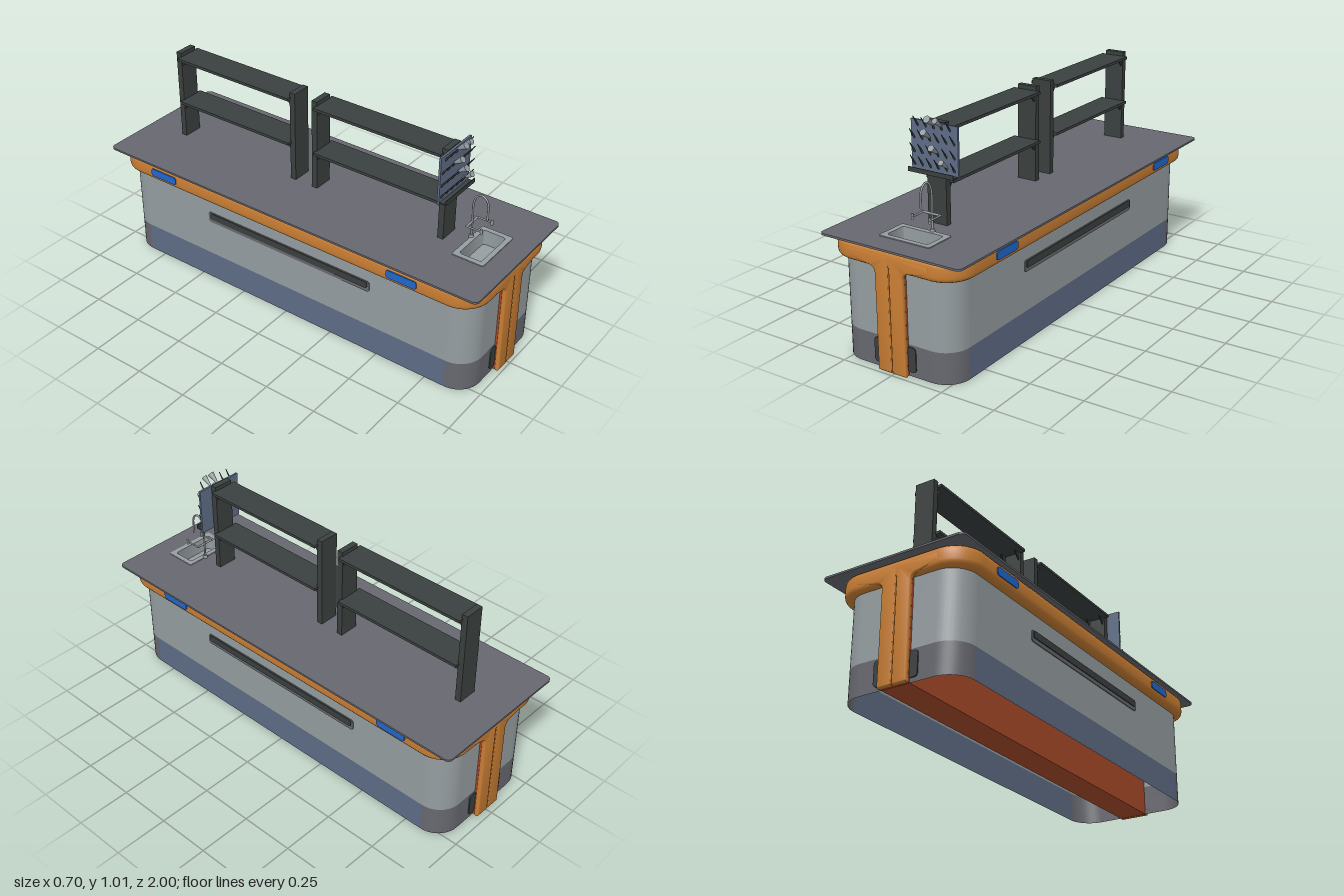
import * as THREE from 'three';
import { toCreasedNormals } from 'three/addons/utils/BufferGeometryUtils.js';

const mat = (name, color, side = THREE.FrontSide) => {
  const m = new THREE.MeshStandardMaterial({ color, side });
  m.name = name;
  return m;
};

// Rounded rectangle outline centred on (cx, cy)
function roundRect(w, h, r, cx = 0, cy = 0, Type = THREE.Shape) {
  const s = new Type(), a = w / 2 - r, b = h / 2 - r;
  s.absarc(cx + a, cy + b, r, 0, Math.PI / 2);
  s.absarc(cx - a, cy + b, r, Math.PI / 2, Math.PI);
  s.absarc(cx - a, cy - b, r, Math.PI, Math.PI * 1.5);
  s.absarc(cx + a, cy - b, r, Math.PI * 1.5, Math.PI * 2);
  s.closePath();
  return s;
}

// Extrude a shape by total depth, rounding its edges inward
function extrude(shape, depth, bevel = 0, steps = 4) {
  const g = new THREE.ExtrudeGeometry(shape, {
    depth: depth - 2 * bevel, curveSegments: 10, bevelEnabled: bevel > 0,
    bevelThickness: bevel, bevelSize: bevel, bevelOffset: -bevel, bevelSegments: steps,
  });
  g.translate(0, 0, bevel);
  return toCreasedNormals(g, 0.6);
}
// Plan shapes lie flat: shape y becomes -z, depth becomes height
const slab = (shape, y0, y1, bevel) => extrude(shape, y1 - y0, bevel).rotateX(-Math.PI / 2).translate(0, y0, 0);

// Vertical wall strip along a list of [x, z] points
function wall(pts, y0, y1) {
  const pos = [], idx = [];
  pts.forEach(([x, z], i) => {
    pos.push(x, y0, z, x, y1, z);
    if (i) { const a = 2 * i - 2; idx.push(a, a + 1, a + 2, a + 2, a + 1, a + 3); }
  });
  const g = new THREE.BufferGeometry();
  g.setAttribute('position', new THREE.Float32BufferAttribute(pos, 3));
  g.setIndex(idx);
  g.computeVertexNormals();
  return g;
}

export function createModel() {
  const root = new THREE.Group();
  root.name = 'labBench';
  const orange = mat('orange', 0xcb7f34), brown = mat('rustBrown', 0xa84a28);
  const light = mat('lightGrey', 0x959da0, THREE.DoubleSide), grey = mat('slateGrey', 0x67686f, THREE.DoubleSide);
  const blue = mat('slateBlue', 0x5e6c85, THREE.DoubleSide), dark = mat('charcoal', 0x3a403f);
  const badgeBlue = mat('badgeBlue', 0x2067cc);

  const add = (name, geo, material, parent = root) => {
    const m = new THREE.Mesh(geo, material);
    m.name = name;
    parent.add(m);
    return m;
  };
  const box = (name, x0, x1, y0, y1, z0, z1, material, parent) => add(name,
    new THREE.BoxGeometry(x1 - x0, y1 - y0, z1 - z0).translate((x0 + x1) / 2, (y0 + y1) / 2, (z0 + z1) / 2), material, parent);
  const rod = (name, a, b, r0, r1, material, parent) => {
    const A = new THREE.Vector3(...a), d = new THREE.Vector3(...b).sub(A);
    const m = add(name, new THREE.CylinderGeometry(r1, r0, d.length(), 12), material, parent);
    m.position.copy(A).addScaledVector(d, 0.5);
    m.quaternion.setFromUnitVectors(new THREE.Vector3(0, 1, 0), d.normalize());
    return m;
  };

  // Cabinet, open underneath, slightly off the worktop's centre
  const base = new THREE.Group();
  base.name = 'cabinet';
  base.position.set(-0.009, 0, 0.008);
  root.add(base);
  const hx = 0.29, hz = 0.95, r = 0.11;
  const end = [];
  for (let q = 0; q < 2; q++) for (let i = 0; i <= 10; i++) {
    const t = (q + i / 10) * Math.PI / 2;
    end.push([(q ? -1 : 1) * (hx - r) + r * Math.cos(t), hz - r + r * Math.sin(t)]);
  }
  const side = [[hx, r - hz], [hx, hz - r]];
  for (const turn of [0, Math.PI]) {
    const half = new THREE.Group();
    half.name = turn ? 'backHalf' : 'frontHalf';
    half.rotation.y = turn;
    base.add(half);
    add('endPanel', wall(end, 0.14, 0.46), light, half);
    add('endPlinth', wall(end, 0, 0.14), grey, half);
    add('sidePanel', wall(side, 0.14, 0.46), light, half);
    add('sidePlinth', wall(side, 0, 0.14), blue, half);

    // Long handle slot on the side
    const border = extrude(roundRect(0.9, 0.052, 0.012), 0.004).rotateY(Math.PI / 2).translate(hx, 0.347, 0);
    add('handleBorder', border, grey, half);
    const slot = extrude(roundRect(0.88, 0.032, 0.01), 0.008).rotateY(Math.PI / 2).translate(hx, 0.355, 0);
    add('handleSlot', slot, dark, half);

    // Badges on the rim
    for (const z of [0.63, -0.685]) {
      const badge = extrude(roundRect(0.15, 0.038, 0.012), 0.008).rotateY(Math.PI / 2);
      add('badge', badge.translate(0.324, 0.492, turn ? -z : z), badgeBlue, half);
    }

    // Twin leg fronts flaring into the rim, with dark vents beside them
    for (const s of [1, -1]) {
      const leg = new THREE.Shape();
      leg.moveTo(0.0005 * s, 0);
      leg.lineTo(0.07 * s, 0);
      leg.lineTo(0.07 * s, 0.42);
      leg.quadraticCurveTo(0.07 * s, 0.455, 0.105 * s, 0.455);
      leg.lineTo(0.2 * s, 0.475);
      leg.lineTo(0.2 * s, 0.51);
      leg.lineTo(0.0005 * s, 0.51);
      leg.closePath();
      add('legFront', extrude(leg, 0.022, 0.008).translate(0, 0, 0.957), orange, half);
      add('vent', extrude(roundRect(0.045, 0.11, 0.015, 0.083 * s, 0.075), 0.005).translate(0, 0, hz), dark, half);
    }
  }
  box('centreSlab', -0.068, 0.068, 0.001, 0.46, -0.966, 0.966, brown, base);

  // Rounded rim under the worktop
  const rim = roundRect(0.655, 1.955, 0.13);
  rim.holes.push(roundRect(0.53, 1.83, 0.08, 0, 0, THREE.Path));
  add('rim', slab(rim, 0.448, 0.536, 0.024), orange, base);

  // Worktop with a sink opening
  const sinkZ = 0.82;
  const top = roundRect(0.7, 2, 0.025);
  top.holes.push(roundRect(0.21, 0.11, 0.012, 0, -sinkZ, THREE.Path));
  add('worktop', slab(top, 0.534, 0.543, 0), grey);

  // Sink rim and basin
  const lip = roundRect(0.252, 0.15, 0.008, 0, -sinkZ);
  lip.holes.push(roundRect(0.205, 0.105, 0.012, 0, -sinkZ, THREE.Path));
  add('sinkRim', slab(lip, 0.541, 0.547, 0), light);
  const tub = roundRect(0.211, 0.111, 0.012, 0, -sinkZ);
  tub.holes.push(roundRect(0.205, 0.105, 0.012, 0, -sinkZ, THREE.Path));
  add('sinkWalls', slab(tub, 0.475, 0.545, 0), light);
  box('sinkFloor', -0.104, 0.104, 0.472, 0.476, sinkZ - 0.054, sinkZ + 0.054, light);

  // Gooseneck tap with two side valves
  const tap = new THREE.Group();
  tap.name = 'tap';
  root.add(tap);
  const tx = 0.03, tz = 0.746;
  const neck = new THREE.CatmullRomCurve3([[0.545, 0], [0.63, 0], [0.715, 0], [0.75, 0.012], [0.764, 0.036],
    [0.75, 0.06], [0.725, 0.07]].map(([y, z]) => new THREE.Vector3(tx, y, tz + z)));
  add('gooseneck', new THREE.TubeGeometry(neck, 36, 0.0045, 8), light, tap);
  rod('tapBase', [tx, 0.543, tz], [tx, 0.558, tz], 0.012, 0.009, light, tap);
  rod('nozzle', [tx, 0.73, tz + 0.07], [tx, 0.655, tz + 0.07], 0.004, 0.005, light, tap);
  rod('crossPipe', [-0.015, 0.622, tz], [0.072, 0.622, tz], 0.005, 0.005, light, tap);
  for (const x of [-0.015, 0.072]) {
    rod('valvePipe', [x, 0.622, tz - 0.005], [x, 0.622, tz + 0.075], 0.004, 0.004, light, tap);
    rod('valveHandle', [x, 0.61, tz + 0.07], [x, 0.635, tz + 0.07], 0.006, 0.006, light, tap);
  }

  // Two shelf racks: posts, shelves and corner brackets
  for (const [z0, z1] of [[-0.03, 0.66], [-0.812, -0.122]]) {
    const rack = new THREE.Group();
    rack.name = 'shelfRack';
    root.add(rack);
    const t = 0.028;
    for (const z of [z0, z1 - t]) box('post', -0.057, 0.038, 0.543, 0.98, z, z + t, dark, rack);
    for (const y of [0.948, 0.724]) {
      box('shelf', -0.079, 0.059, y, y + 0.013, z0 + t - 0.005, z1 - t + 0.005, dark, rack);
      for (const [z, s] of [[z0 + t, 1], [z1 - t, -1]]) for (const x of [-0.05, 0.025]) {
        const tri = new THREE.Shape([[0, 0], [0.032 * -s, 0], [0, -0.036]].map(p => new THREE.Vector2(...p)));
        add('bracket', extrude(tri, 0.006).rotateY(Math.PI / 2).translate(x, y, z), dark, rack);
      }
    }
  }

  // Drying board with tray, tilted pegs and upturned funnels
  const board = new THREE.Group();
  board.name = 'dryingBoard';
  root.add(board);
  box('boardPanel', -0.125, 0.108, 0.755, 0.976, 0.66, 0.67, blue, board);
  box('trayFloor', -0.122, 0.105, 0.762, 0.767, 0.67, 0.702, dark, board);
  box('trayLip', -0.122, 0.105, 0.762, 0.782, 0.698, 0.702, dark, board);
  [0.785, 0.838, 0.897, 0.952].forEach((y, row) => {
    const n = row === 3 ? 5 : 6;
    for (let i = 0; i < n; i++) {
      const x = (row === 3 ? -0.09 : -0.11) + i * 0.04;
      rod('peg', [x, y, 0.668], [x, y + 0.046, 0.7], 0.0045, 0.0018, dark, board);
    }
  });
  for (const [x, y, s] of [[-0.01, 1.0, 0.016], [0.03, 1.0, 0.013], [-0.03, 0.944, 0.015], [0.008, 0.884, 0.015], [0.055, 0.832, 0.013]]) {
    rod('funnel', [x, y - 0.036, 0.668], [x, y, 0.715], 0.003, s, light, board);
  }
  return root;
}
